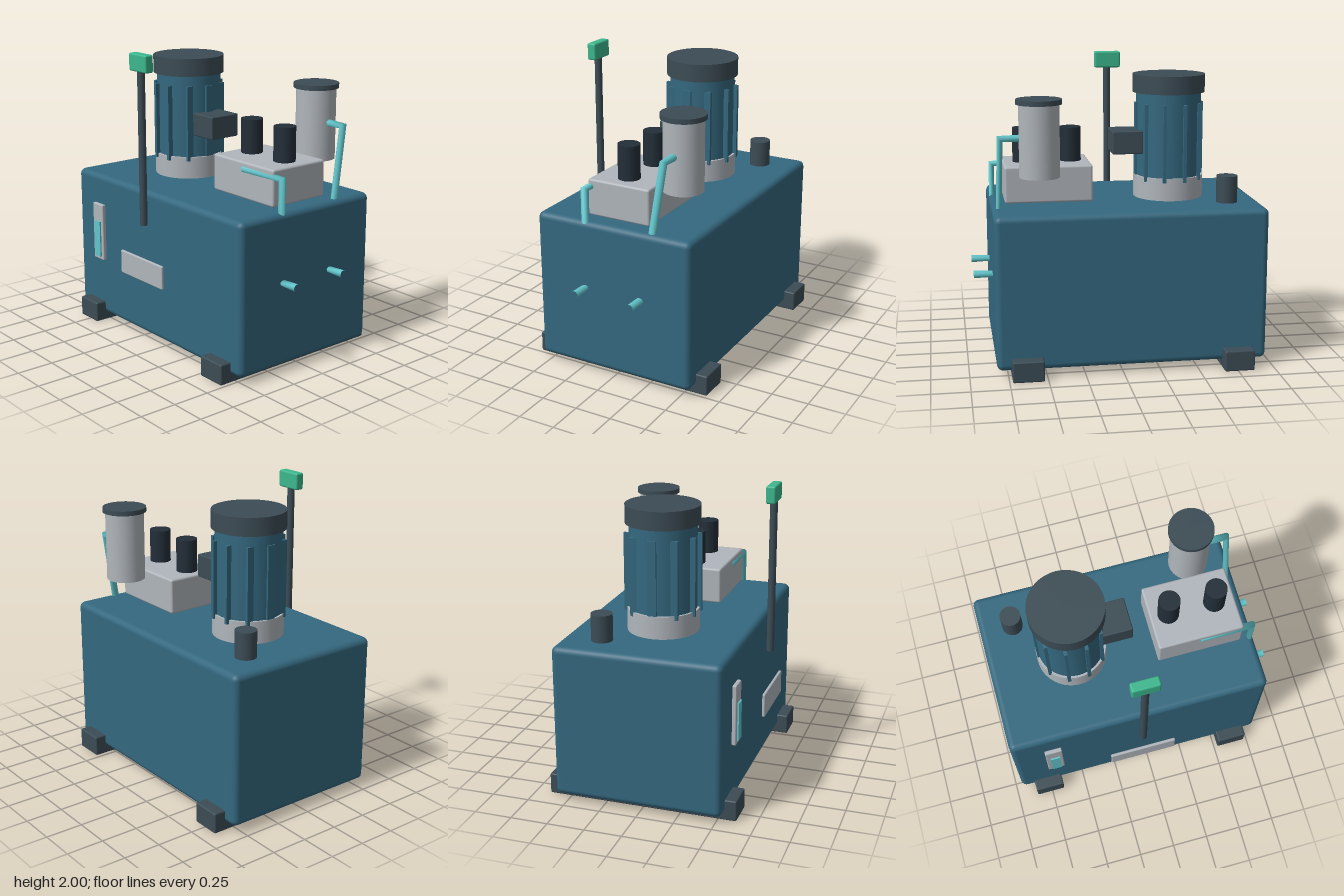
import * as THREE from 'three';
import { RoundedBoxGeometry } from 'three/addons/geometries/RoundedBoxGeometry.js';

const paint = (name, color) => {
  const m = new THREE.MeshStandardMaterial({ color });
  m.name = name;
  return m;
};

// Pipe along straight runs with mitred corners and open ends
function pipeGeometry(points, r, sides = 12) {
  const pts = points.map((p) => new THREE.Vector3(...p));
  const pos = [], idx = [];
  pts.forEach((p, i) => {
    const t = new THREE.Vector3();
    if (i > 0) t.add(p.clone().sub(pts[i - 1]).normalize());
    if (i < pts.length - 1) t.add(pts[i + 1].clone().sub(p).normalize());
    t.normalize();
    const u = new THREE.Vector3(0, 0, 1);
    u.addScaledVector(t, -u.dot(t)).normalize();
    const v = t.clone().cross(u);
    for (let j = 0; j < sides; j++) {
      const a = (j / sides) * Math.PI * 2;
      const q = p.clone().addScaledVector(u, r * Math.cos(a)).addScaledVector(v, r * Math.sin(a));
      pos.push(q.x, q.y, q.z);
      if (i < pts.length - 1) {
        const k = (j + 1) % sides, b = i * sides, n = b + sides;
        idx.push(b + j, b + k, n + j, b + k, n + k, n + j);
      }
    }
  });
  const g = new THREE.BufferGeometry();
  g.setAttribute('position', new THREE.Float32BufferAttribute(pos, 3));
  g.setIndex(idx);
  g.computeVertexNormals();
  return g;
}

export function createModel() {
  const model = new THREE.Group();
  model.name = 'hydraulicPowerUnit';

  const blue = paint('tankBlue', 0x34687f);
  const slate = paint('slateGrey', 0x3c4c55);
  const grey = paint('lightGrey', 0xb0b6bc);
  const black = paint('coilBlack', 0x232e38);
  const cyan = paint('pipeCyan', 0x62c6cc);
  const green = paint('handleGreen', 0x3cb78e);

  const add = (name, geometry, material, parent = model) => {
    const mesh = new THREE.Mesh(geometry, material);
    mesh.name = name;
    parent.add(mesh);
    return mesh;
  };
  // Box given by its lower and upper limits on each axis
  const box = (name, mat, [x0, x1], [y0, y1], [z0, z1], radius = 0, parent = model) => {
    const s = [x1 - x0, y1 - y0, z1 - z0];
    const g = radius ? new RoundedBoxGeometry(...s, 3, radius) : new THREE.BoxGeometry(...s);
    add(name, g, mat, parent).position.set((x0 + x1) / 2, (y0 + y1) / 2, (z0 + z1) / 2);
  };
  // Upright cylinder between two heights
  const post = (name, mat, x, z, r, y0, y1, parent = model) =>
    add(name, new THREE.CylinderGeometry(r, r, y1 - y0, 40), mat, parent).position.set(x, (y0 + y1) / 2, z);

  // Tank on two skids
  box('tank', blue, [-0.955, 0.825], [0.055, 1.072], [-0.571, 0.545], 0.04);
  box('rightSkid', slate, [-0.86, -0.66], [0.003, 0.142], [-0.65, 0.622], 0.01);
  box('leftSkid', slate, [0.525, 0.73], [0.003, 0.142], [-0.65, 0.622], 0.01);

  // Electric motor with fins and terminal box
  const motor = new THREE.Group();
  motor.name = 'motor';
  model.add(motor);
  const mx = -0.39, mz = -0.016;
  post('motorFlange', grey, mx, mz, 0.235, 1.06, 1.222, motor);
  post('motorBody', blue, mx, mz, 0.22, 1.2, 1.79, motor);
  post('motorFanCover', slate, mx, mz, 0.243, 1.78, 1.9, motor);
  for (let i = 0; i < 10; i++) {
    const a = (i / 10) * Math.PI * 2;
    const x = mx + 0.22 * Math.cos(a), z = mz + 0.22 * Math.sin(a);
    box('motorFin', blue, [x - 0.011, x + 0.011], [1.195, 1.71], [z - 0.03, z + 0.03], 0, motor);
  }
  box('terminalBox', slate, [-0.2, 0.007], [1.375, 1.53], [-0.127, 0.1], 0.008, motor);

  // Filler breather
  post('breather', slate, -0.73, -0.31, 0.07, 1.06, 1.25);

  // Valve block with two solenoids
  box('valveBlock', grey, [0.155, 0.735], [1.087, 1.33], [-0.238, 0.207], 0.015);
  for (const x of [0.28, 0.595]) post('solenoid', black, x, -0.016, 0.072, 1.32, 1.557);

  // Filter canister
  post('filterBody', grey, 0.517, -0.362, 0.131, 1.285, 1.757);
  post('filterCap', slate, 0.517, -0.362, 0.148, 1.755, 1.787);

  // Pipes that run through the tank and out at the side
  add('valvePipe', pipeGeometry(
    [[0.44, 1.281, 0.19], [0.8, 1.281, 0.19], [0.8, 0.615, 0.19], [0.95, 0.615, 0.19]], 0.026), cyan);
  add('filterPipe', pipeGeometry(
    [[0.6, 1.537, -0.36], [0.768, 1.537, -0.36], [0.79, 0.615, -0.217], [0.95, 0.615, -0.217]], 0.026), cyan);

  // Hand lever
  post('leverRod', slate, -0.065, 0.621, 0.025, 0.87, 1.9);
  box('leverGrip', green, [-0.157, 0.025], [1.885, 2], [0.587, 0.651], 0.012);

  // Level gauge and name plate
  box('gaugePlate', grey, [-0.737, -0.62], [0.465, 0.87], [0.548, 0.577], 0.008);
  box('sightGlass', cyan, [-0.71, -0.643], [0.49, 0.745], [0.572, 0.587]);
  box('namePlate', grey, [-0.297, 0.162], [0.485, 0.645], [0.63, 0.651], 0.008);

  return model;
}
